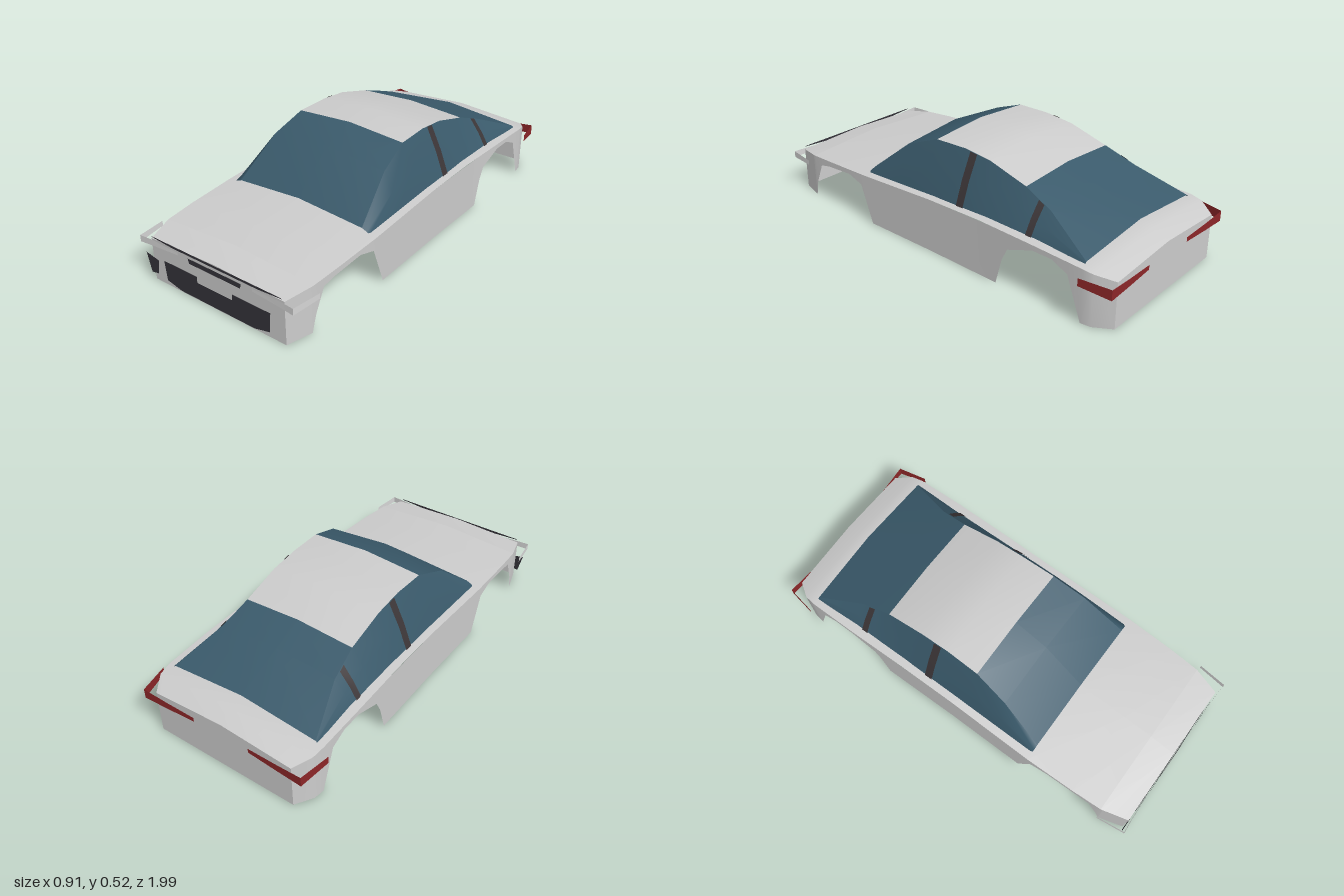
import * as THREE from 'three';

const mat = (name, color) => new THREE.MeshStandardMaterial({ name, color, side: THREE.DoubleSide });

// Surface through rows of points, all rows of equal length
function grid(rows) {
  const n = rows[0].length, idx = [];
  for (let i = 0; i < rows.length - 1; i++) {
    for (let j = 0; j < n - 1; j++) {
      const a = i * n + j, b = a + n;
      idx.push(a, b, a + 1, a + 1, b, b + 1);
    }
  }
  const g = new THREE.BufferGeometry();
  g.setAttribute('position', new THREE.Float32BufferAttribute(rows.flat(2), 3));
  g.setIndex(idx);
  g.computeVertexNormals();
  return g;
}

// Linear interpolation in a table whose first column falls
function lerpTable(table, z) {
  let i = 0;
  while (i < table.length - 2 && z < table[i + 1][0]) i++;
  const a = table[i], b = table[i + 1];
  const t = THREE.MathUtils.clamp((a[0] - z) / (a[0] - b[0]), 0, 1);
  return a.map((v, k) => v + (b[k] - v) * t);
}

// Body: z, half width, belt height, centre-line height
const body = [
  [0.98, 0.375, 0.21, 0.225], [0.85, 0.412, 0.226, 0.25], [0.7, 0.421, 0.235, 0.263],
  [0.45, 0.428, 0.246, 0.285], [0, 0.424, 0.265, 0.3], [-0.3, 0.426, 0.271, 0.3],
  [-0.6, 0.43, 0.265, 0.3], [-0.84, 0.428, 0.254, 0.288], [-0.9, 0.42, 0.245, 0.275],
  [-0.98, 0.37, 0.22, 0.245],
];
// Lower edge of the side with its wheel arches: z, y
const sill = [
  [0.98, 0], [0.86, 0], [0.84, 0.08], [0.79, 0.19], [0.72, 0.205], [0.56, 0.217], [0.47, 0.19],
  [0.4, 0], [0, 0], [-0.4, 0], [-0.435, 0.13], [-0.465, 0.19], [-0.6, 0.24], [-0.7, 0.238],
  [-0.78, 0.2], [-0.85, 0], [-0.9, 0], [-0.98, 0],
];
// Cabin: z, edge x, edge height, centre-line height
const cabin = [
  [0.45, 0.35, 0.265, 0.29], [0.24, 0.316, 0.435, 0.465], [0.07, 0.295, 0.5, 0.52],
  [-0.1, 0.29, 0.503, 0.525], [-0.25, 0.29, 0.487, 0.507], [-0.45, 0.29, 0.43, 0.447],
  [-0.6, 0.308, 0.372, 0.39], [-0.84, 0.388, 0.265, 0.3],
];

export function createModel() {
  const car = new THREE.Group();
  car.name = 'car';
  const paint = mat('bodyPaint', 0xcccccc);
  const glass = mat('windowGlass', 0x3a5a6b);
  const dark = mat('grilleDark', 0x35333a);
  const pillarMat = mat('pillarDark', 0x3b3537);
  const red = mat('tailLampRed', 0x8c2628);
  const lampMat = mat('headLampPale', 0xd6d6d6);

  const add = (name, geometry, material) => {
    const m = new THREE.Mesh(geometry, material);
    m.name = name;
    car.add(m);
  };
  const plate = (name, pts, z, material) => {
    const g = new THREE.ShapeGeometry(new THREE.Shape(pts.map(p => new THREE.Vector2(...p))));
    add(name, g.translate(0, 0, z), material);
  };
  const rect = (w, y0, y1) => [[-w, y0], [w, y0], [w, y1], [-w, y1]];

  // Crowned deck: the nose is a separate panel with a crease behind it
  const deckRow = ([z, w, e, c]) => [[-w, e, z], [0, c, z], [w, e, z]];
  add('nose', grid(body.slice(0, 2).map(deckRow)), paint);
  add('deck', grid(body.slice(1).map(deckRow)), paint);

  // Front and rear end panels
  for (const [name, s] of [['frontPanel', body[0]], ['rearPanel', body[body.length - 1]]]) {
    const [z, w, e, c] = s;
    plate(name, [[-w, 0], [w, 0], [w, e], [0, c], [-w, e]], z, paint);
  }

  for (const s of [1, -1]) {
    const side = s > 0 ? 'left' : 'right';

    // Body sides with open wheel arches
    const sideRow = ([z, y]) => {
      const [, w, e] = lerpTable(body, z);
      return [[s * w, y, z], [s * w, e, z]];
    };
    add(side + 'FrontCorner', grid(sill.slice(0, 2).map(sideRow)), paint);
    add(side + 'BodySide', grid(sill.slice(1).map(sideRow)), paint);

    // Side windows, slightly bowed, and their pillars
    const windowRow = (z, out) => {
      const [, x, y] = lerpTable(cabin, z);
      const base = lerpTable(body, z)[2] - 0.001;
      return [
        [s * (x + out), y, z],
        [s * ((x + 0.39) / 2 + 0.006 + out), (y + base) / 2, z],
        [s * (0.39 + out), base, z],
      ];
    };
    add(side + 'SideWindow', grid(cabin.map(c => windowRow(c[0], 0))), glass);
    for (const [z0, z1] of [[-0.135, -0.175], [-0.53, -0.562]]) {
      add(side + 'Pillar', grid([windowRow(z0, 0.004), windowRow(z1, 0.004)]), pillarMat);
    }

    // Wrap-around lamps: x, z, low y, high y
    const ribbon = pts => grid(pts.map(([x, z, y0, y1]) => [[s * x, y0, z], [s * x, y1, z]]));
    add(side + 'HeadLamp', ribbon([[0.21, 0.985, 0.19, 0.203], [0.37, 0.99, 0.182, 0.212],
      [0.43, 0.995, 0.18, 0.212]]), lampMat);
    add(side + 'HeadLampSide', ribbon([[0.43, 0.995, 0.18, 0.212], [0.447, 0.855, 0.183, 0.208]]), lampMat);
    add(side + 'TailLamp', ribbon([[0.15, -0.985, 0.178, 0.2], [0.3, -0.99, 0.172, 0.208],
      [0.43, -0.995, 0.17, 0.22]]), red);
    add(side + 'TailLampSide', ribbon([[0.43, -0.995, 0.17, 0.22], [0.457, -0.85, 0.19, 0.226]]), red);
  }

  // Windscreen, roof and rear window
  const topRow = ([z, x, e, c]) => [[-x, e, z], [0, c, z], [x, e, z]];
  add('windscreen', grid(cabin.slice(0, 3).map(topRow)), glass);
  add('roof', grid(cabin.slice(2, 6).map(topRow)), paint);
  add('rearWindow', grid(cabin.slice(5).map(topRow)), glass);

  // Front openings and number plates
  plate('upperGrilleStrip', [[-0.37, 0.222], [-0.24, 0.213], [0.24, 0.213], [0.37, 0.222],
    [0.36, 0.225], [-0.36, 0.225]], 0.985, dark);
  plate('upperGrille', [[-0.145, 0.175], [0.145, 0.175], [0.15, 0.199], [-0.15, 0.199]], 0.985, dark);
  plate('lowerGrille', [[-0.21, 0.008], [0.21, 0.008], [0.293, 0.028], [0.302, 0.125],
    [-0.304, 0.125], [-0.295, 0.028]], 0.985, dark);
  plate('fogIntake', [[-0.393, 0.032], [-0.35, 0.04], [-0.34, 0.112], [-0.415, 0.127]], 0.985, dark);
  plate('frontNumberPlate', rect(0.1, 0.1, 0.145), 0.99, paint);
  plate('rearNumberPlate', rect(0.1, 0.1, 0.145), -0.985, paint);
  return car;
}
